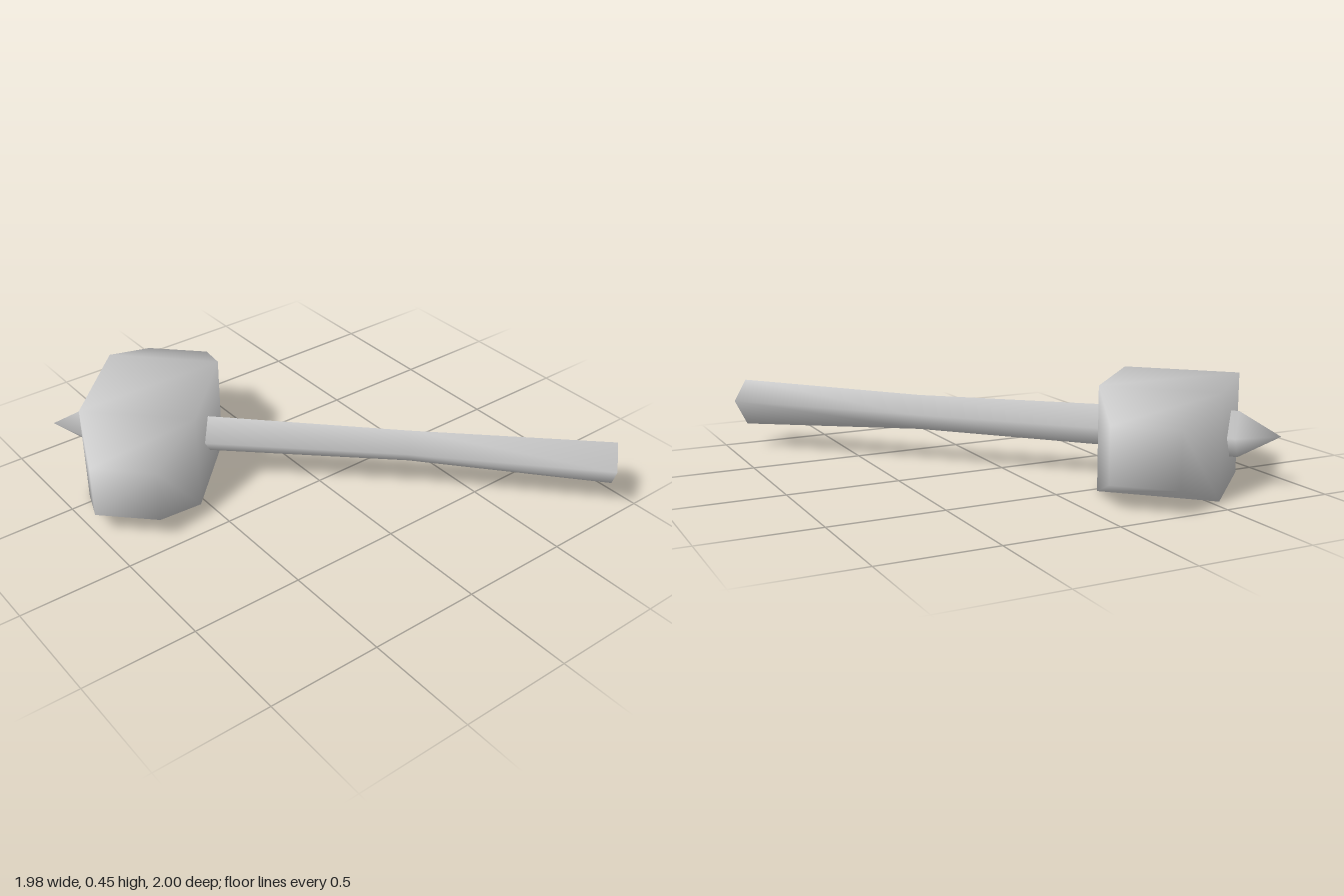
import * as THREE from 'three';
import { mergeVertices } from 'three/addons/utils/BufferGeometryUtils.js';

// Smooth closed loft through four-cornered rings of [x, y, z] points
function loft(rings) {
  const n = 4, last = (rings.length - 1) * n, index = [];
  for (let i = 0; i < rings.length - 1; i++) {
    for (let k = 0; k < n; k++) {
      const a = i * n + k, b = i * n + (k + 1) % n;
      index.push(a, b, b + n, a, b + n, a + n);
    }
  }
  index.push(0, 2, 1, 0, 3, 2);
  index.push(last, last + 1, last + 2, last, last + 2, last + 3);
  let g = new THREE.BufferGeometry();
  g.setAttribute('position', new THREE.Float32BufferAttribute(rings.flat(2), 3));
  g.setIndex(index);
  g = mergeVertices(g);
  g.computeVertexNormals();
  return g;
}

export function createModel() {
  const steel = new THREE.MeshStandardMaterial({ color: 0xcccccc });
  steel.name = 'grey';

  const hammer = new THREE.Group();
  hammer.name = 'hammer';

  // Head: a block along x with tapered striking ends [x, half height, half depth]
  const headRings = [
    [-0.516, 0.12, 0.142], [-0.247, 0.225, 0.255],
    [0.247, 0.225, 0.255], [0.516, 0.12, 0.142],
  ].map(([x, h, d]) => [[-h, -d], [h, -d], [h, d], [-h, d]]
    .map(([y, z]) => [x, 0.228 + y, -0.757 + z]));
  const head = new THREE.Mesh(loft(headRings), steel);
  head.name = 'head';

  // Handle: diamond section along z, spike behind the head, flared butt
  // [z, left x, right x, bottom y, top y, middle y]
  const handleRings = [
    [-1.223, -0.02, -0.02, 0.23, 0.23, 0.23],
    [-1.046, -0.113, 0.085, 0.13, 0.33, 0.23],
    [-0.5, -0.1, 0.07, 0.14, 0.322, 0.232],
    [0.4, -0.08, 0.07, 0.153, 0.312, 0.235],
    [1.3, -0.12, 0.092, 0.115, 0.33, 0.245],
  ].map(([z, l, r, b, t, m]) => {
    const c = (l + r) / 2;
    return [[r, m, z], [c, t, z], [l, m, z], [c, b, z]];
  });
  const handle = new THREE.Mesh(loft(handleRings), steel);
  handle.name = 'handle';

  hammer.add(head, handle);
  hammer.rotation.y = Math.PI / 4;

  const model = new THREE.Group();
  model.add(hammer);
  return model;
}
